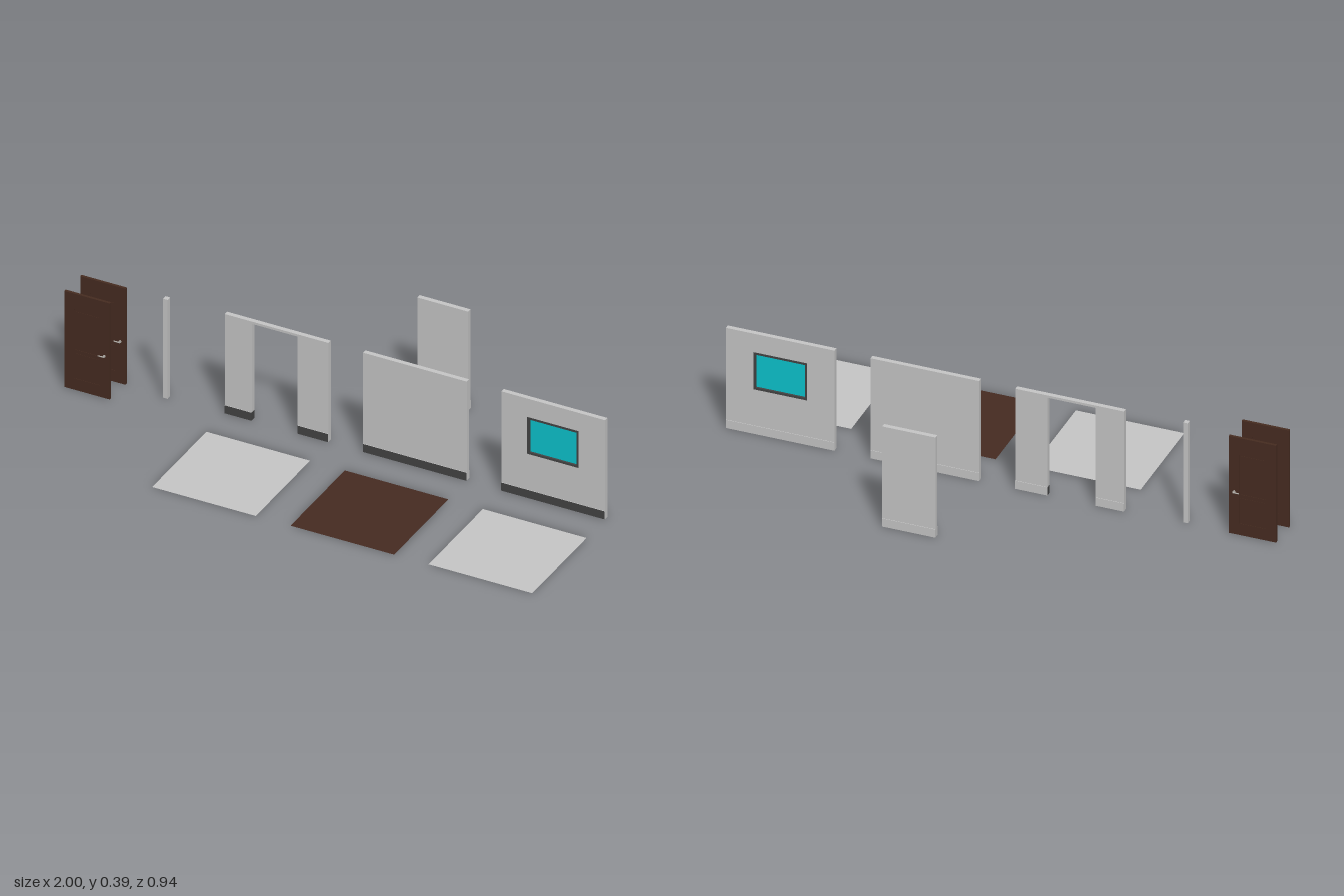
import * as THREE from 'three';

const mat = (name, color, side = THREE.FrontSide) => {
  const m = new THREE.MeshStandardMaterial({ color, side });
  m.name = name;
  return m;
};

export function createModel() {
  const root = new THREE.Group();
  root.name = 'roomKit';
  const grey = mat('wallGrey', 0xc8c8c8);
  const dark = mat('skirtingDark', 0x444444);
  const brown = mat('doorBrown', 0x472c21);
  const cyan = mat('glassCyan', 0x0cc5cf);
  const metal = mat('handleMetal', 0xb4b0aa);
  const floorGrey = mat('floorGrey', 0xc8c8c8, THREE.DoubleSide);
  const floorBrown = mat('floorBrown', 0x472b22, THREE.DoubleSide);

  const add = (parent, name, geo, material) => {
    const mesh = new THREE.Mesh(geo, material);
    mesh.name = name;
    parent.add(mesh);
    return mesh;
  };
  // Box given by its two corners
  const box = (parent, name, x0, x1, y0, y1, z0, z1, material) => {
    const m = add(parent, name, new THREE.BoxGeometry(x1 - x0, y1 - y0, z1 - z0), material);
    m.position.set((x0 + x1) / 2, (y0 + y1) / 2, (z0 + z1) / 2);
    return m;
  };
  const outline = (target, x0, x1, y0, y1) => {
    target.moveTo(x0, y0);
    target.lineTo(x1, y0);
    target.lineTo(x1, y1);
    target.lineTo(x0, y1);
    target.closePath();
    return target;
  };
  const slab = (parent, name, shape, z0, z1, material) => {
    const geo = new THREE.ExtrudeGeometry(shape, { depth: z1 - z0, bevelEnabled: false, curveSegments: 12 });
    const m = add(parent, name, geo, material);
    m.position.z = z0;
    return m;
  };
  const group = (name) => {
    const g = new THREE.Group();
    g.name = name;
    root.add(g);
    return g;
  };

  const H = 0.394, S = 0.032;      // wall and skirting heights
  const ZB = -0.0745, ZF = -0.0575; // wall back and front
  const P = 0.002;                 // skirting projection

  // Skirting: dark front and underside, optional dark inner ends
  const skirting = (g, x0, x1, zb, zf, right = grey, left = grey) =>
    box(g, 'skirting', x0, x1, 0, S, zb - P, zf + P, [right, left, grey, dark, dark, grey]);

  // Plain walls: full width and narrow
  for (const [name, x0, x1, zb, zf] of [
    ['plainWall', 0.081, 0.475, ZB, ZF],
    ['narrowWall', 0.081, 0.274, -0.468, -0.451],
  ]) {
    const g = group(name);
    box(g, 'wallPanel', x0, x1, S, H, zb, zf, grey);
    skirting(g, x0, x1, zb, zf);
  }

  // Wall with a doorway
  const doorway = group('doorwayWall');
  const a = -0.445, b = -0.342, c = -0.168, d = -0.051, top = 0.385;
  const arch = new THREE.Shape([
    [a, S], [b, S], [b, top], [c, top], [c, S], [d, S], [d, H], [a, H],
  ].map(([x, y]) => new THREE.Vector2(x, y)));
  slab(doorway, 'wallPanel', arch, ZB, ZF, grey);
  skirting(doorway, a, b, ZB, ZF, dark, grey);
  skirting(doorway, c, d, ZB, ZF, grey, dark);

  // Wall with a framed window
  const windowWall = group('windowWall');
  const w = [0.705, 0.9, 0.175, 0.321], t = 0.008;
  const inner = [w[0] + t, w[1] - t, w[2] + t, w[3] - t];
  const panel = outline(new THREE.Shape(), 0.606, 1, S, H);
  panel.holes.push(outline(new THREE.Path(), ...w));
  slab(windowWall, 'wallPanel', panel, ZB, ZF, grey);
  const frame = outline(new THREE.Shape(), ...w);
  frame.holes.push(outline(new THREE.Path(), ...inner));
  slab(windowWall, 'windowFrame', frame, ZB - 0.001, ZF + 0.001, dark);
  box(windowWall, 'windowPane', ...inner, -0.068, -0.064, cyan);
  skirting(windowWall, 0.606, 1, ZB, ZF);

  // Free-standing corner post
  box(root, 'cornerPost', -0.674, -0.657, 0, H, -0.065, -0.047, grey);

  // Floor tiles
  for (const [x, material] of [[-0.248, floorGrey], [0.278, floorBrown], [0.803, floorGrey]]) {
    const tile = add(root, 'floorTile', new THREE.PlaneGeometry(0.394, 0.394), material);
    tile.rotation.x = -Math.PI / 2;
    tile.position.set(x, 0, 0.273);
  }

  // Doors with an arched upper panel, a square lower panel and lever handles
  const makeDoor = (name, x, z) => {
    const g = group(name);
    g.position.set(x, 0, z);
    const W = 0.172, DH = 0.382;
    const leaf = outline(new THREE.Shape(), 0, W, 0, DH);
    const upper = new THREE.Path();
    upper.moveTo(0.038, 0.16);
    upper.lineTo(0.134, 0.16);
    upper.lineTo(0.134, 0.315);
    upper.absellipse(0.086, 0.315, 0.048, 0.034, 0, Math.PI, false);
    upper.closePath();
    leaf.holes.push(upper, outline(new THREE.Path(), 0.038, 0.134, 0.045, 0.15));
    slab(g, 'doorFrame', leaf, -0.005, 0.005, brown);
    box(g, 'doorCore', 0.03, 0.142, 0.04, 0.355, -0.0035, 0.0035, brown);
    // Raised fields inside the recesses
    box(g, 'upperField', 0.043, 0.129, 0.165, 0.312, -0.0045, 0.0045, brown);
    box(g, 'lowerField', 0.043, 0.129, 0.05, 0.145, -0.0045, 0.0045, brown);
    for (const s of [-1, 1]) {
      const rose = add(g, 'handleRose', new THREE.CylinderGeometry(0.005, 0.005, 0.003, 12), metal);
      rose.rotation.x = Math.PI / 2;
      rose.position.set(0.152, 0.167, s * 0.0065);
      const stem = add(g, 'handleStem', new THREE.CylinderGeometry(0.002, 0.002, 0.009, 8), metal);
      stem.rotation.x = Math.PI / 2;
      stem.position.set(0.152, 0.167, s * 0.01);
      const lever = add(g, 'handleLever', new THREE.CylinderGeometry(0.002, 0.0025, 0.023, 8), metal);
      lever.rotation.z = Math.PI / 2;
      lever.position.set(0.143, 0.167, s * 0.0135);
    }
  };
  makeDoor('frontDoor', -1, 0.042);
  makeDoor('rearDoor', -0.996, -0.065);

  return root;
}
